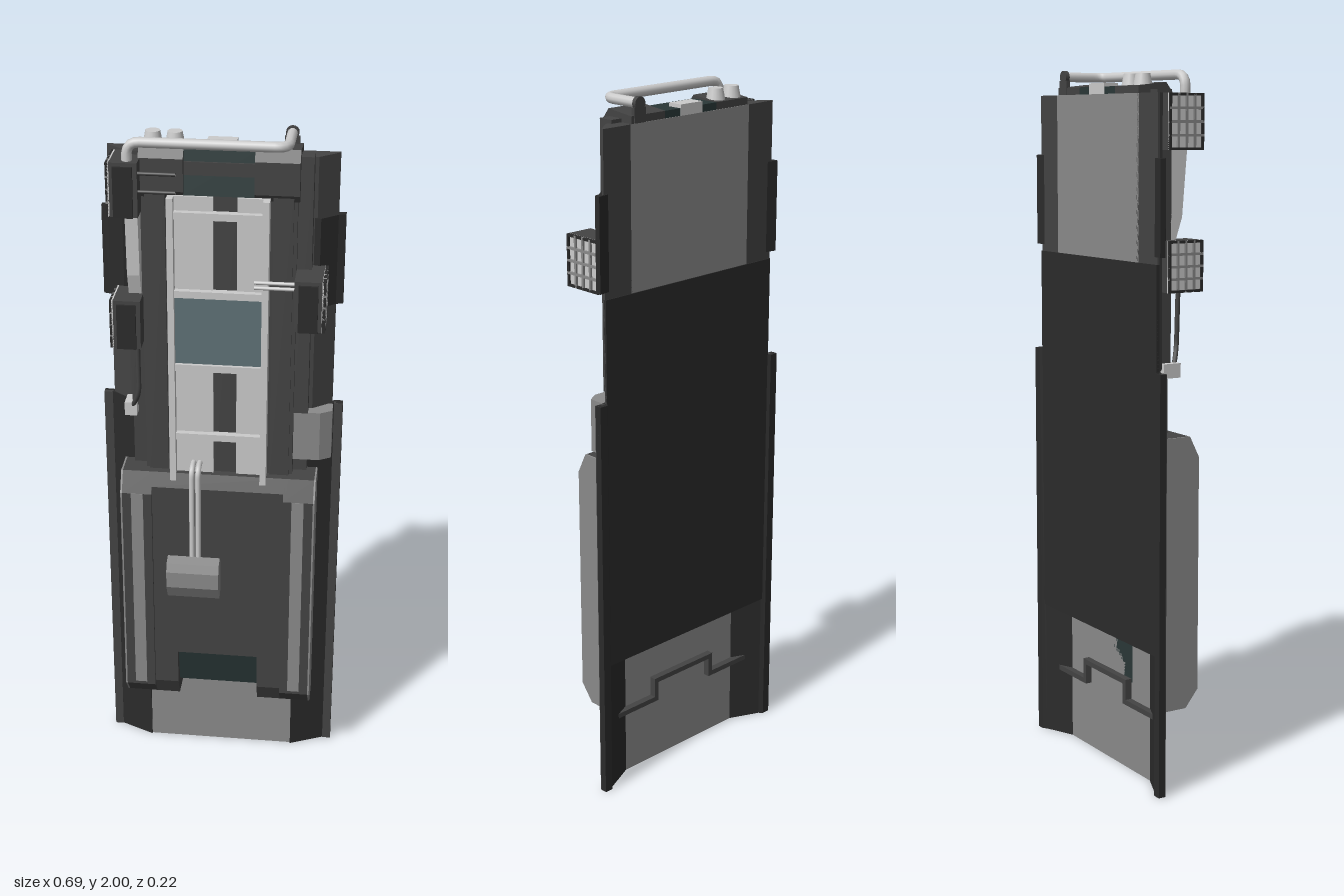
import * as THREE from 'three';

const mat = (color) => new THREE.MeshStandardMaterial({ color, side: THREE.DoubleSide });
const light = mat(0xcccccc), mid = mat(0x8a8a8a), dark = mat(0x444444), black = mat(0x2b2b2b);
const teal = mat(0x2a3838), glass = mat(0x5f7276);

export function createModel() {
  const root = new THREE.Group();
  const add = (name, geo, material) => {
    const m = new THREE.Mesh(geo, material);
    m.name = name;
    root.add(m);
  };
  // box given by its limits
  const box = (name, x0, x1, y0, y1, z0, z1, m) =>
    add(name, new THREE.BoxGeometry(x1 - x0, y1 - y0, z1 - z0)
      .translate((x0 + x1) / 2, (y0 + y1) / 2, (z0 + z1) / 2), m);
  const extrude = (pts, depth) => new THREE.ExtrudeGeometry(
    new THREE.Shape(pts.map((p) => new THREE.Vector2(...p))), { depth, bevelEnabled: false });
  // [x, z] section raised from y0 to y1
  const upright = (name, pts, y0, y1, m) =>
    add(name, extrude(pts.map(([x, z]) => [x, -z]), y1 - y0).rotateX(-Math.PI / 2).translate(0, y0, 0), m);
  // [z, y] profile swept from x0 to x1
  const across = (name, pts, x0, x1, m) =>
    add(name, extrude(pts.map(([z, y]) => [-z, y]), x1 - x0).rotateY(Math.PI / 2).translate(x0, 0, 0), m);
  // x limits on the chosen side
  const span = (s, a, b) => (s < 0 ? [-b, -a] : [a, b]);
  // rounded-corner pipe through points
  const pipe = (name, pts, r, m, bend = 0.03) => {
    const v = pts.map((p) => new THREE.Vector3(...p));
    const path = new THREE.CurvePath();
    let from = v[0];
    for (let i = 1; i < v.length - 1; i++) {
      const a = v[i].clone().add(v[i - 1].clone().sub(v[i]).setLength(bend));
      const b = v[i].clone().add(v[i + 1].clone().sub(v[i]).setLength(bend));
      path.add(new THREE.LineCurve3(from, a));
      path.add(new THREE.QuadraticBezierCurve3(a, v[i], b));
      from = b;
    }
    path.add(new THREE.LineCurve3(from, v[v.length - 1]));
    add(name, new THREE.TubeGeometry(path, 48, r, 10, false), m);
  };

  // Tray: floors, back plate, solid sloped wings, wider lower rails
  box('lowerFloor', -0.22, 0.22, 0, 0.45, -0.06, -0.05, mid);
  box('upperFloor', -0.22, 0.22, 1.36, 1.93, -0.1, -0.085, mid);
  box('backPlate', -0.315, 0.315, 0.4, 1.48, -0.103, -0.094, black);
  for (const s of [-1, 1]) {
    const flip = (pts) => pts.map(([x, z]) => [s * x, z]);
    upright('lowerRail', flip([[0.345, -0.11], [0.345, -0.09], [0.32, -0.09], [0.22, -0.045],
      [0.22, -0.06], [0.31, -0.1], [0.32, -0.11]]), 0, 1.19, black);
    box('railLip', ...span(s, 0.32, 0.345), 0, 1.19, -0.1, -0.088, dark);
    upright('upperWing', flip([[0.315, -0.1], [0.315, -0.094], [0.26, -0.05], [0.21, -0.045], [0.21, -0.1]]),
      1.19, 1.93, dark);
    upright('wingPad', flip([[0.335, -0.105], [0.335, -0.088], [0.315, -0.082], [0.27, -0.045], [0.25, -0.05],
      [0.3, -0.1]]), 1.5, 1.76, black);
    box('wingRidge', ...span(s, 0.205, 0.25), 1.19, 1.94, -0.06, -0.015, dark);
  }
  // Rear clip, a thin stepped strip on the lower floor
  for (const [x0, x1, y0, y1] of [[-0.28, -0.11, 0.2, 0.215], [0.11, 0.28, 0.2, 0.215], [-0.12, 0.12, 0.26, 0.275],
    [-0.12, -0.105, 0.2, 0.275], [0.105, 0.12, 0.2, 0.275], [-0.28, -0.265, 0.2, 0.4], [0.265, 0.28, 0.2, 0.4]])
    box('rearClip', x0, x1, y0, y1, -0.08, -0.055, dark);

  // Column: recessed panels between two raised trims
  box('columnCore', -0.21, 0.21, 0.9, 1.92, -0.085, 0, dark);
  for (const [x0, x1] of [[-0.12, -0.015], [0.05, 0.12]])
    box('columnPanel', x0, x1, 0.95, 1.83, 0, 0.015, light);
  box('columnGroove', -0.015, 0.05, 0.95, 1.83, 0, 0.006, dark);
  box('columnWindow', -0.12, 0.12, 1.34, 1.55, 0, 0.022, glass);
  for (const y of [1.12, 1.335, 1.555, 1.78])
    box('columnRung', -0.12, 0.12, y - 0.01, y + 0.01, 0.01, 0.032, light);
  for (const s of [-1, 1]) {
    box('pillar', ...span(s, 0.145, 0.2), 0.95, 1.86, 0, 0.008, dark);
    box('pillarTrim', ...span(s, 0.12, 0.138), 0.95, 1.83, 0, 0.04, light);
    across('pillarCap', [[-0.098, 1.95], [-0.01, 1.96], [0.013, 1.93], [0.013, 1.84], [0, 1.82], [-0.098, 1.82]],
      ...span(s, 0.095, 0.215), dark);
  }
  across('columnHead', [[-0.098, 1.95], [-0.01, 1.95], [0.008, 1.83], [-0.098, 1.83]], -0.095, 0.095, teal);
  box('headLatch', -0.04, 0.04, 1.93, 1.96, -0.1, -0.055, light);
  for (const x of [-0.185, -0.125])
    add('knob', new THREE.CylinderGeometry(0.02, 0.027, 0.035, 16).translate(x, 1.965, -0.065), light);

  // Carrying pipe over the top
  pipe('topPipe', [[-0.24, 1.9, 0.035], [-0.24, 1.98, 0.035], [0.185, 1.98, 0.035], [0.185, 1.98, -0.095]], 0.014, light, 0.035);
  add('pipeFlange', new THREE.CylinderGeometry(0.018, 0.018, 0.012, 16).rotateX(Math.PI / 2)
    .translate(0.185, 1.98, -0.094), dark);
  box('pipeBracket', 0.165, 0.205, 1.93, 1.97, -0.1, -0.088, dark);

  // Side boxes with a lattice on the outer face
  for (const [s, y0, y1, z1] of [[1, 1.48, 1.625, 0.075], [-1, 1.78, 1.93, 0.06], [-1, 1.4, 1.54, 0.06]]) {
    const z0 = -0.05;
    box('sideBox', ...span(s, 0.21, 0.285), y0, y1, z0, z1, dark);
    box('sideBoxFront', ...span(s, 0.222, 0.275), y0, y1 - 0.01, 0.02, z1 + 0.007, black);
    box('latticeBack', ...span(s, 0.285, 0.289), y0, y1, z0, z1, light);
    for (let i = 0; i <= 4; i++) {
      const y = y0 + (y1 - y0 - 0.007) * i / 4, z = z0 + (z1 - z0 - 0.007) * i / 4;
      box('latticeBar', ...span(s, 0.286, 0.295), y, y + 0.007, z0, z1, i % 4 ? mid : black);
      box('latticeBar', ...span(s, 0.286, 0.295), y0, y1, z, z + 0.007, i % 4 ? mid : black);
    }
  }
  across('boxLink', [[-0.03, 1.54], [-0.03, 1.78], [0.035, 1.78], [0.02, 1.6], [0, 1.54]], -0.25, -0.215, light);

  // Rods, cable, clip and shoulder wedge
  for (const y of [1.85, 1.9]) pipe('cornerRod', [[-0.24, y, 0.05], [-0.11, y, 0.05]], 0.005, dark);
  for (const y of [1.59, 1.605]) pipe('crossRod', [[0.1, y, 0.045], [0.23, y, 0.045]], 0.005, light);
  pipe('cable', [[-0.255, 1.18, -0.01], [-0.225, 1.24, 0.02], [-0.225, 1.42, 0.025]], 0.007, dark);
  box('cableClip', -0.27, -0.235, 1.165, 1.205, -0.05, 0.005, light);
  upright('shoulderWedge', [[0.195, -0.09], [0.195, -0.018], [0.285, -0.02], [0.318, -0.04], [0.318, -0.085]],
    1.04, 1.19, mid);
  for (const s of [-1, 1]) box('shoulderBase', ...span(s, 0.2, 0.25), 0.98, 1.19, -0.09, -0.03, dark);

  // Lower cover: centre panel framed by side rails with feet
  across('coverPanel', [[-0.06, 0.39], [-0.06, 1], [0.03, 1], [0.05, 0.96], [0.05, 0.39]], -0.2, 0.2, dark);
  across('coverRecess', [[-0.06, 0.265], [-0.06, 0.4], [0.04, 0.4], [0.01, 0.265]], -0.125, 0.125, teal);
  const railSide = [[-0.05, 0.22], [-0.05, 1], [0.03, 1], [0.06, 0.94], [0.06, 0.27], [0.02, 0.22]];
  for (const s of [-1, 1]) {
    across('coverRail', railSide, ...span(s, 0.19, 0.276), dark);
    across('coverSidePlate', railSide, ...span(s, 0.276, 0.281), mid);
    box('coverRailStrip', ...span(s, 0.215, 0.25), 0.28, 0.94, 0.055, 0.0615, mid);
    across('coverFoot', [[-0.05, 0.22], [-0.05, 0.395], [0.05, 0.395], [0.05, 0.28], [0.02, 0.22]],
      ...span(s, 0.12, 0.2), dark);
  }

  // Handle on its two-rod stem
  across('handle', [[0.05, 0.64], [0.05, 0.72], [0.07, 0.745], [0.1, 0.735], [0.11, 0.71], [0.11, 0.66], [0.085, 0.615], [0.065, 0.615]],
    -0.143, 0.01, mid);
  for (const x of [-0.072, -0.054])
    pipe('handleStem', [[x, 0.7, 0.065], [x, 1.03, 0.06], [x, 1.03, 0]], 0.008, light, 0.025);
  return root;
}
